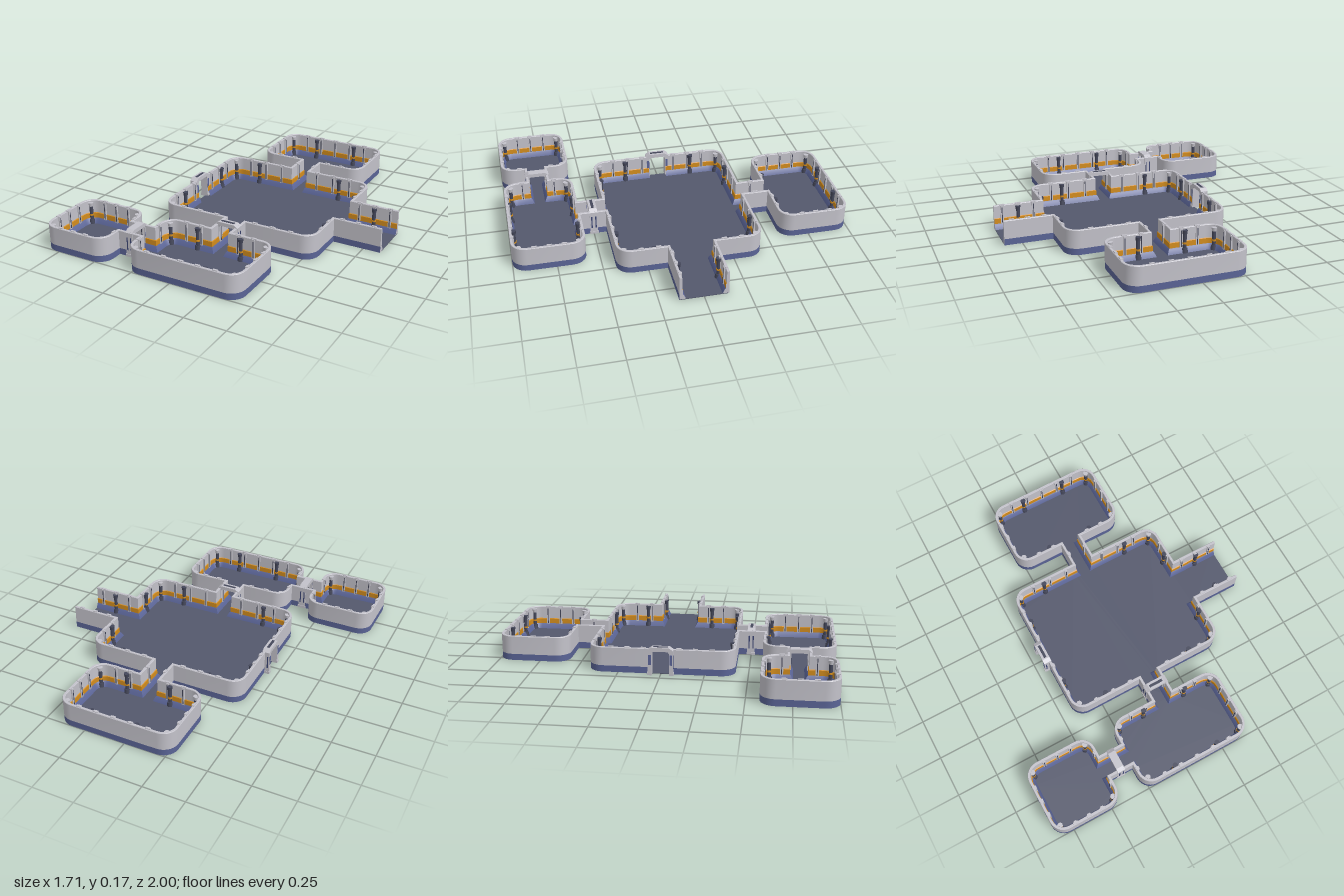
import * as THREE from 'three';
import { toCreasedNormals } from 'three/addons/utils/BufferGeometryUtils.js';

const mat = (name, color, side = THREE.FrontSide) => {
  const m = new THREE.MeshStandardMaterial({ color, side });
  m.name = name;
  return m;
};

// Wall runs as corners [x, z, radius], with the interior on the left-hand side.
const R = 0.085;
const BACK_RUN = [
  [0.855, -0.14, 0], [0.565, -0.14, 0], [0.565, -0.425, R], [0.14, -0.425, 0], [0.14, -0.575, 0],
  [0.42, -0.575, R], [0.42, -1, R], [-0.285, -1, R], [-0.285, -0.575, R], [0, -0.575, 0],
  [0, -0.425, 0], [-0.425, -0.425, R], [-0.425, -0.055, 0],
];
const FRONT_RUN = [
  [-0.425, 0.055, 0], [-0.425, 0.425, R], [0, 0.425, 0], [0, 0.575, 0], [-0.285, 0.575, R],
  [-0.285, 0.715, 0], [-0.43, 0.715, 0], [-0.43, 0.575, R], [-0.855, 0.575, R], [-0.855, 1, R],
  [-0.43, 1, R], [-0.43, 0.855, 0], [-0.285, 0.855, 0], [-0.285, 1, R], [0.42, 1, R],
  [0.42, 0.575, R], [0.14, 0.575, 0], [0.14, 0.425, 0], [0.565, 0.425, R], [0.565, 0.14, 0],
  [0.855, 0.14, 0],
];

const V = (x, z) => new THREE.Vector2(x, z);
const direction = (a, b) => V(b[0] - a[0], b[1] - a[1]).normalize();

// Replaces each rounded corner by a quarter arc.
function roundedPath(run) {
  const pts = [];
  run.forEach(([x, z, r], i) => {
    if (!r) { pts.push(V(x, z)); return; }
    const d1 = direction(run[i - 1], run[i]);
    const d2 = direction(run[i], run[i + 1]);
    const c = V(x, z).addScaledVector(d1, -r).addScaledVector(d2, r);
    for (let k = 0; k <= 7; k++) {
      const t = (k / 7) * Math.PI / 2;
      pts.push(c.clone().addScaledVector(d2, -r * Math.cos(t)).addScaledVector(d1, r * Math.sin(t)));
    }
  });
  return pts;
}

// Moves a path inwards, with mitred corners.
function inset(pts, amount) {
  const normal = (a, b) => V(b.y - a.y, a.x - b.x).normalize();
  return pts.map((p, i) => {
    const n1 = normal(pts[Math.max(i - 1, 0)], pts[Math.max(i, 1)]);
    const last = pts.length - 1;
    const n2 = normal(pts[Math.min(i, last - 1)], pts[Math.min(i + 1, last)]);
    return p.clone().addScaledVector(n1.clone().add(n2), amount / (1 + n1.dot(n2)));
  });
}

// Sweeps a profile of [inset, y] points along a path.
function sweep(pts, profile) {
  const pos = [], idx = [], n = pts.length;
  profile.forEach(([d, y]) => inset(pts, d).forEach(p => pos.push(p.x, y, p.y)));
  for (let j = 0; j < profile.length - 1; j++) {
    for (let i = 0; i < n - 1; i++) {
      const a = j * n + i, b = a + 1, c = b + n, d = a + n;
      idx.push(a, b, c, a, c, d);
    }
  }
  const g = new THREE.BufferGeometry();
  g.setAttribute('position', new THREE.Float32BufferAttribute(pos, 3));
  g.setIndex(idx);
  return toCreasedNormals(g, 0.5);
}

export function createModel() {
  const floorMat = mat('slate floor', 0x54586c);
  const blue = mat('blue base', 0x5a6496);
  const grey = mat('light grey wall', 0xc3c2ca, THREE.DoubleSide);
  const orange = mat('orange stripe', 0xd38d1e);
  const dark = mat('dark metal', 0x44475a);
  const navy = mat('navy panel', 0x3c4674);

  const model = new THREE.Group();
  model.name = 'floorPlan';
  const add = (parent, name, geo, material, x = 0, y = 0, z = 0) => {
    const m = new THREE.Mesh(geo, material);
    m.name = name;
    m.position.set(x, y, z);
    parent.add(m);
    return m;
  };
  const box = (parent, name, w, h, d, material, x, y, z) =>
    add(parent, name, new THREE.BoxGeometry(w, h, d), material, x, y, z);

  // Floor slab under all rooms and corridors
  const paths = [BACK_RUN, FRONT_RUN].map(roundedPath);
  const outline = paths.flatMap(p => inset(p, 0.001)).map(p => V(p.x, -p.y));
  const slab = new THREE.ExtrudeGeometry(new THREE.Shape(outline), { depth: 0.004, bevelEnabled: false });
  add(model, 'floor', slab.rotateX(-Math.PI / 2), floorMat);

  // Walls, in coloured bands
  const bands = [
    ['wallBase', blue, [[0, 0], [0, 0.038]]],
    ['wall', grey, [[0, 0.038], [0, 0.146], [0.002, 0.149], [0.014, 0.149], [0.016, 0.146], [0.016, 0.07]]],
    ['wallStripe', orange, [[0.016, 0.07], [0.02, 0.067], [0.02, 0.036]]],
    ['skirting', blue, [[0.02, 0.036], [0.026, 0.03], [0.038, 0.003]]],
  ];
  paths.forEach(p => bands.forEach(([name, m, profile]) => add(model, name, sweep(p, profile), m)));

  // Cut ends of the open corridor
  for (const s of [-1, 1]) {
    const section = new THREE.Shape(bands.flatMap(b => b[2]).map(([d, y]) => V(s * (0.14 - d), y)));
    add(model, 'wallEnd', new THREE.ShapeGeometry(section).rotateY(-Math.PI / 2), grey, 0.855);
  }

  // Ribs along the straight walls, each with a dark seam and a cap on the rim
  for (const run of [BACK_RUN, FRONT_RUN]) {
    for (let i = 0; i < run.length - 1; i++) {
      const [a, b] = [run[i], run[i + 1]];
      const d = direction(a, b);
      const length = Math.hypot(b[0] - a[0], b[1] - a[1]) - a[2] - b[2];
      const count = Math.round(length / 0.1);
      for (let k = 0; k < count; k++) {
        const t = a[2] + length * (k + 0.5) / count;
        const rib = new THREE.Group();
        rib.name = 'wallRib';
        rib.position.set(a[0] + d.x * t, 0, a[1] + d.y * t);
        rib.rotation.y = Math.atan2(d.y, -d.x);
        box(rib, 'ribBody', 0.018, 0.118, 0.012, grey, 0, 0.09, 0.018);
        box(rib, 'ribSeam', 0.005, 0.1, 0.004, dark, 0, 0.088, 0.0235);
        box(rib, 'ribCap', 0.03, 0.007, 0.013, grey, 0, 0.15, 0.011);
        model.add(rib);
      }
    }
  }

  // Round posts standing against the walls
  const post = (x, z, top) => {
    const g = new THREE.Group();
    g.name = 'post';
    g.position.set(x, 0, z);
    const drum = (name, r0, r1, y0, y1, m) =>
      add(g, name, new THREE.CylinderGeometry(r1, r0, y1 - y0, 12), m, 0, (y0 + y1) / 2);
    drum('postFoot', 0.02, 0.016, 0.003, 0.03, dark);
    drum('postShaft', 0.011, 0.011, 0.03, 0.115, dark);
    drum('postCollar', 0.013, 0.013, 0.055, 0.066, orange);
    drum('postCap', 0.013, 0.016, 0.115, 0.138, top);
    model.add(g);
  };
  for (const s of [-1, 1]) {
    for (const x of [-0.215, 0.355]) post(x, s * 0.399, dark);
    for (const x of [-0.4, 0.54]) post(x, s * 0.215, dark);
    for (const x of [-0.07, 0.21]) [0.601, 0.974].forEach(z => post(x, s * z, dark));
    post(0.71, s * 0.115, dark);
  }
  // Corner posts, set in diagonally
  const rooms = [
    [-0.425, 0.565, -0.425, 0.425], [-0.285, 0.42, -1, -0.575],
    [-0.285, 0.42, 0.575, 1], [-0.855, -0.43, 0.575, 1],
  ];
  for (const [x0, x1, z0, z1] of rooms) {
    for (const x of [x0 + 0.042, x1 - 0.042]) {
      for (const z of [z0 + 0.042, z1 - 0.042]) post(x, z, grey);
    }
  }

  // Door portals
  const arch = new THREE.Shape([
    [-0.073, 0], [-0.05, 0], [-0.05, 0.132], [-0.042, 0.141], [0.042, 0.141], [0.05, 0.132], [0.05, 0],
    [0.073, 0], [0.073, 0.148], [0.05, 0.164], [-0.05, 0.164], [-0.073, 0.148],
  ].map(([x, y]) => V(x, y)));
  const archGeo = new THREE.ExtrudeGeometry(arch, { depth: 0.046, bevelEnabled: false }).translate(0, 0, -0.023);
  const portal = (x, z, turn, slotted) => {
    const g = new THREE.Group();
    g.name = 'doorPortal';
    g.position.set(x, 0, z);
    g.rotation.y = turn;
    add(g, 'portalFrame', archGeo, grey);
    if (slotted) box(g, 'topSlot', 0.085, 0.002, 0.016, dark, 0, 0.1642, 0);
    for (const s of [-1, 1]) {
      for (const t of [-1, 1]) {
        box(g, 'sideSlot', 0.002, 0.08, 0.007, navy, s * 0.073, 0.08, t * 0.012);
        box(g, 'jambPanel', 0.015, 0.06, 0.003, blue, s * 0.061, 0.092, t * 0.023);
      }
      box(g, 'portalFoot', 0.026, 0.016, 0.052, grey, s * 0.063, 0.008, 0);
    }
    model.add(g);
  };
  portal(0.07, 0.498, 0, true);
  portal(-0.36, 0.785, Math.PI / 2, false);
  portal(-0.431, 0, Math.PI / 2, true);

  return model;
}
